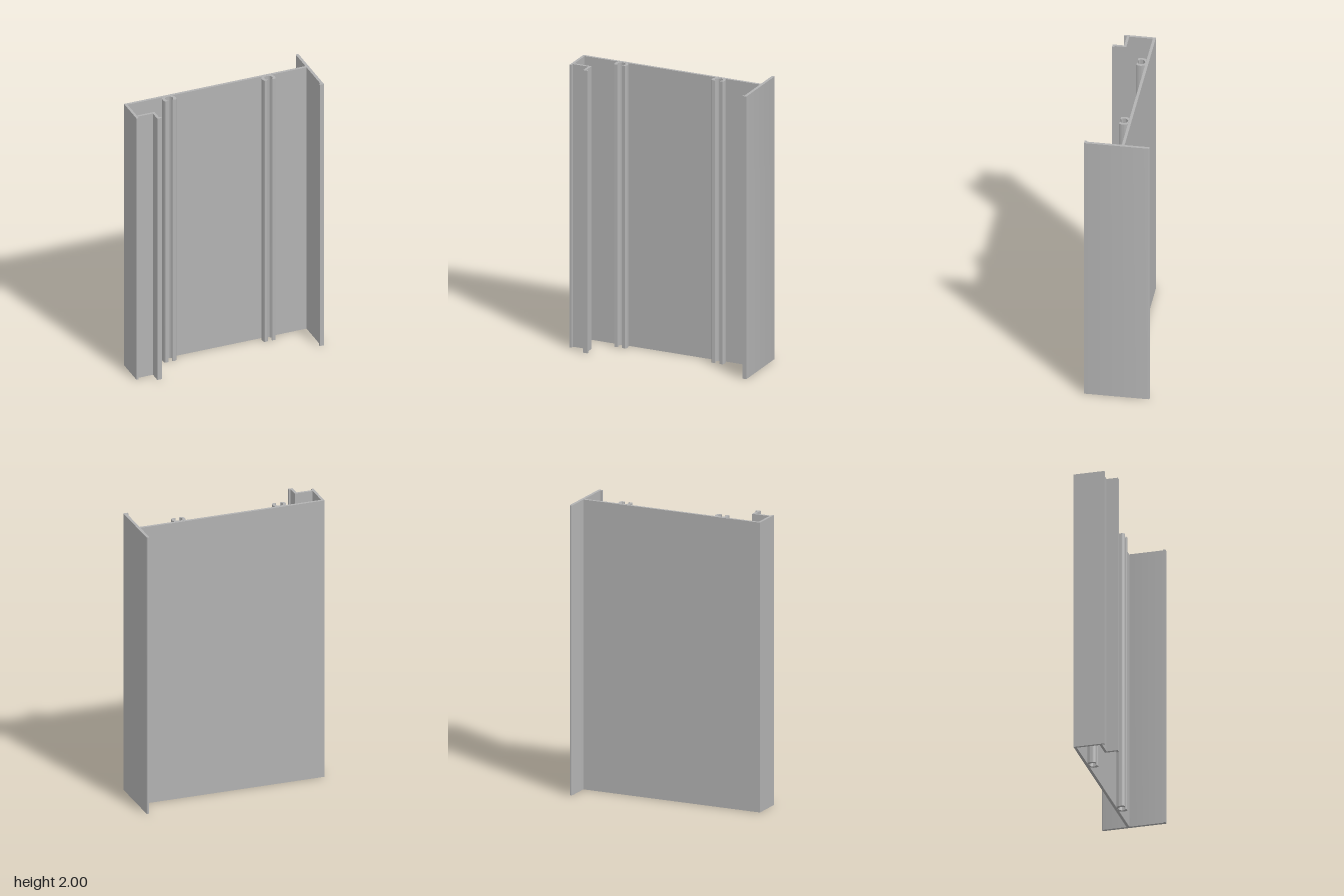
import * as THREE from 'three';
import { toCreasedNormals } from 'three/addons/utils/BufferGeometryUtils.js';

const HEIGHT = 2;
const rad = THREE.MathUtils.degToRad;

export function createModel() {
  const model = new THREE.Group();
  model.name = 'extrudedProfile';
  const aluminium = new THREE.MeshStandardMaterial({ color: 0xb2b2b2 });
  aluminium.name = 'aluminium grey';

  // Extrudes a plan section (shape y = -z) upward from the ground
  function addSection(name, shape, x = 0) {
    const geometry = new THREE.ExtrudeGeometry(shape, {
      depth: HEIGHT, bevelEnabled: false, curveSegments: 14,
    });
    geometry.rotateX(-Math.PI / 2);
    const mesh = new THREE.Mesh(toCreasedNormals(geometry, rad(30)), aluminium);
    mesh.name = name;
    mesh.position.x = x;
    model.add(mesh);
  }

  // Outline from [x, z] points
  const outline = (points) =>
    new THREE.Shape(points.map(([x, z]) => new THREE.Vector2(x, -z)));

  // Main flat web
  addSection('web', outline([
    [-0.647, -0.051], [0.645, -0.051], [0.645, -0.032], [-0.647, -0.032],
  ]));

  // Side wall with stepped return lip
  addSection('steppedWall', outline([
    [-0.665, -0.051], [-0.647, -0.051], [-0.647, 0.126], [-0.52, 0.126],
    [-0.52, 0.204], [-0.506, 0.204], [-0.506, 0.22], [-0.538, 0.22],
    [-0.538, 0.143], [-0.65, 0.143], [-0.65, 0.163], [-0.665, 0.163],
  ]));

  // Tall flange with a rounded back edge and a small toe at the front
  const flange = new THREE.Shape();
  flange.moveTo(0.665, -0.22);
  flange.lineTo(0.665, 0.212);
  flange.absarc(0.655, 0.212, 0.01, 0, Math.PI, false);
  flange.lineTo(0.645, -0.205);
  flange.lineTo(0.635, -0.205);
  flange.lineTo(0.635, -0.22);
  flange.closePath();
  addSection('flange', flange);

  // Open C-shaped screw channels
  const channel = new THREE.Shape();
  channel.moveTo(-0.036, 0.032);
  channel.absarc(0, 0, 0.047, rad(140), rad(215), false);
  channel.lineTo(-0.017, -0.025);
  channel.lineTo(-0.013, -0.02);
  channel.absarc(0, 0, 0.027, rad(225), rad(-45), true);
  channel.lineTo(0.013, -0.02);
  channel.lineTo(0.017, -0.025);
  channel.absarc(0, 0, 0.047, rad(-35), rad(40), false);
  channel.lineTo(0.036, 0.032);
  channel.closePath();
  addSection('screwChannelRight', channel, -0.36);
  addSection('screwChannelLeft', channel, 0.357);

  return model;
}
